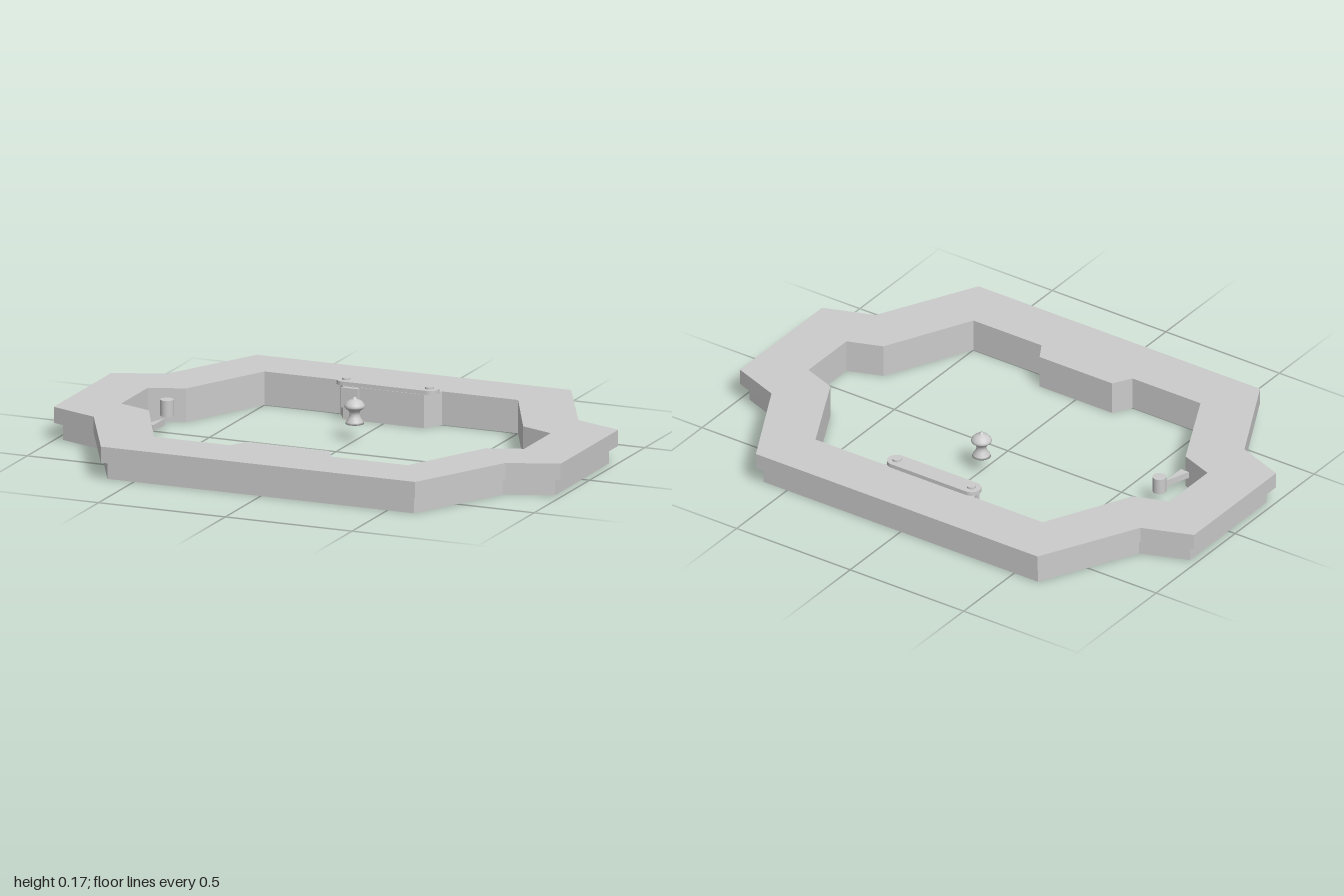
import * as THREE from 'three';

const grey = () => new THREE.MeshStandardMaterial({ color: 0xcccccc, flatShading: true });
const smooth = () => new THREE.MeshStandardMaterial({ color: 0xcccccc });

// Mirror a quarter outline (ordered from the +x side to the z axis) into a full loop.
function mirrored(quarter) {
  const half = [...quarter, ...quarter.map(([x, z]) => [-x, z]).reverse()];
  return [...half, ...half.map(([x, z]) => [x, -z]).reverse()].map(([x, z]) => new THREE.Vector2(x, z));
}

// Extrude a plan shape (x, -z) upward from y0 to y1.
function slab(name, shape, y0, y1, material = grey()) {
  const geometry = new THREE.ExtrudeGeometry(shape, { depth: y1 - y0, bevelEnabled: false, curveSegments: 16 });
  geometry.rotateX(-Math.PI / 2).translate(0, y0, 0);
  const mesh = new THREE.Mesh(geometry, material);
  mesh.name = name;
  return mesh;
}

function cylinder(name, radius, x, y0, y1, z) {
  const mesh = new THREE.Mesh(new THREE.CylinderGeometry(radius, radius, y1 - y0, 24), smooth());
  mesh.position.set(x, (y0 + y1) / 2, z);
  mesh.name = name;
  return mesh;
}

export function createModel() {
  const group = new THREE.Group();
  group.name = 'octagonalFrame';

  // Two stacked rings sharing one opening, with a shelf bump at front and back
  const opening = mirrored([[0.795, 0.12], [0.665, 0.168], [0.5, 0.5], [0.2, 0.5], [0.16, 0.43]]);
  const ring = (name, outline, y0, y1) => {
    const shape = new THREE.Shape(mirrored(outline));
    shape.holes.push(new THREE.Path(opening));
    group.add(slab(name, shape, y0, y1));
  };
  ring('lowerRing', [[0.97, 0.243], [0.793, 0.31], [0.605, 0.68]], 0, 0.065);
  ring('upperRing', [[1, 0.26], [0.812, 0.33], [0.62, 0.705]], 0.065, 0.125);

  // Rounded latch bar with two screw heads and a tab hanging over the back shelf
  const r = 0.036, half = 0.164, barZ = -0.468;
  const bar = new THREE.Shape();
  bar.absarc(half, -barZ, r, -Math.PI / 2, Math.PI / 2);
  bar.absarc(-half, -barZ, r, Math.PI / 2, Math.PI * 1.5);
  group.add(slab('latchBar', bar, 0.125, 0.14));
  for (const side of [-1, 1]) {
    group.add(cylinder('screwHead', 0.016, side * half, 0.138, 0.147, barZ));
  }
  const tab = new THREE.Mesh(new THREE.BoxGeometry(0.065, 0.075, 0.03), grey());
  tab.position.set(-0.128, 0.0855, -0.428);
  tab.name = 'latchTab';
  group.add(tab);

  // Waisted knob with a domed cap and small finial
  const profile = [[0, 0.065], [0.034, 0.065], [0.031, 0.073], [0.022, 0.088], [0.018, 0.1], [0.021, 0.113],
    [0.036, 0.125], [0.038, 0.13], [0.036, 0.137], [0.027, 0.148], [0.013, 0.155], [0.007, 0.157],
    [0.007, 0.162], [0, 0.165]];
  const knob = new THREE.Mesh(
    new THREE.LatheGeometry(profile.map(([x, y]) => new THREE.Vector2(x, y)), 28), smooth());
  knob.position.z = -0.168;
  knob.name = 'knob';
  group.add(knob);

  // Peg and pointed wedge near the right-hand end
  group.add(cylinder('peg', 0.025, -0.667, 0.065, 0.125, 0));
  const wedge = new THREE.Shape([[-0.65, -0.055], [-0.685, -0.16], [-0.65, -0.16]]
    .map(([x, y]) => new THREE.Vector2(x, y)));
  group.add(slab('wedge', wedge, 0.045, 0.07));

  return group;
}
